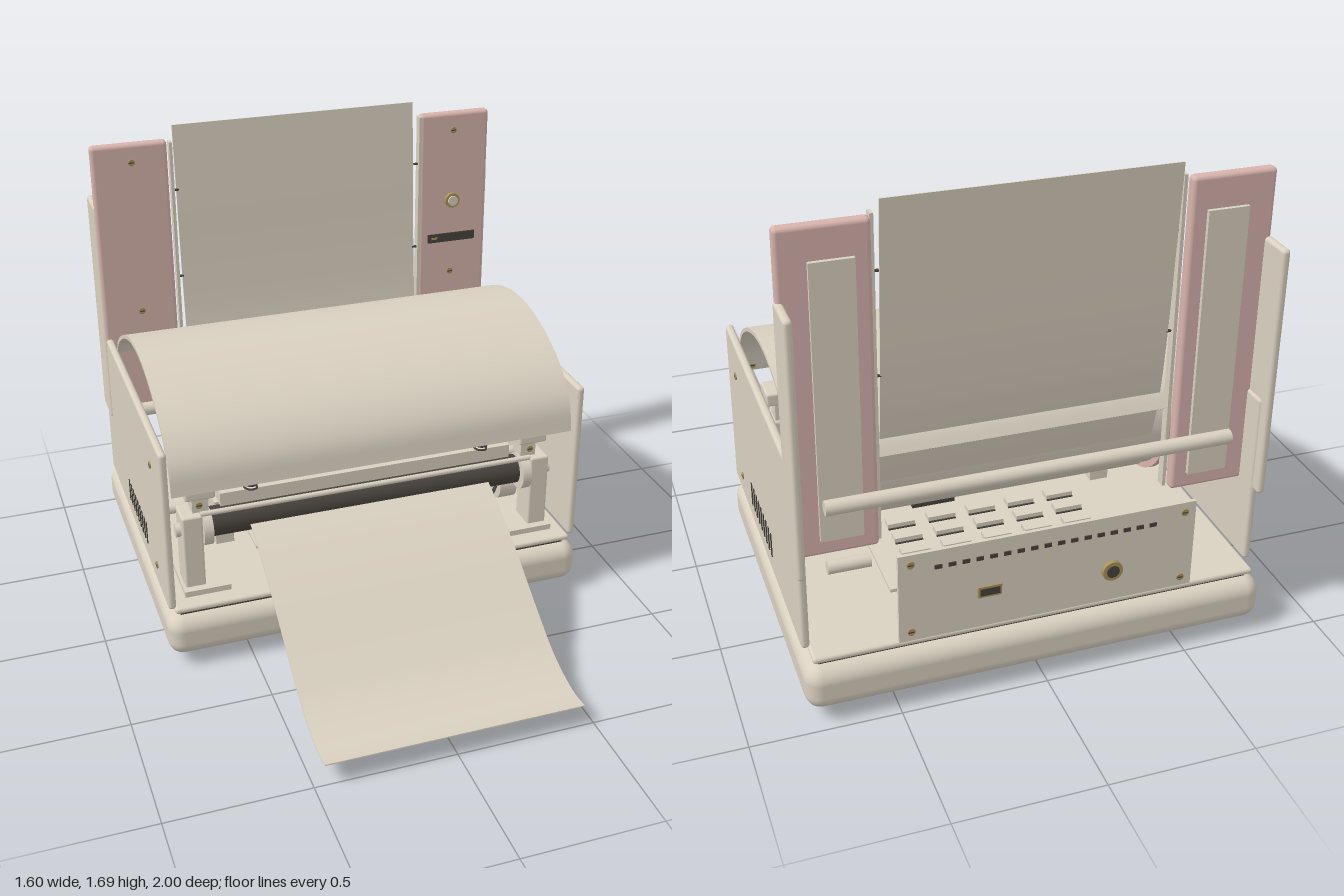
import * as THREE from 'three';
import { RoundedBoxGeometry } from 'three/addons/geometries/RoundedBoxGeometry.js';
import { toCreasedNormals } from 'three/addons/utils/BufferGeometryUtils.js';

const paint = (name, color) => {
  const m = new THREE.MeshStandardMaterial({ color });
  m.name = name;
  return m;
};

export function createModel() {
  const root = new THREE.Group();
  root.name = 'paperPrinter';
  const beige = paint('beige', 0xd9d0c0);
  const pink = paint('dustyPink', 0xd8b3ad);
  const dark = paint('charcoal', 0x48433d);
  const brass = paint('brass', 0xa8935c);

  const add = (name, geo, mat, x = 0, y = 0, z = 0) => {
    const m = new THREE.Mesh(geo, mat);
    m.name = name;
    m.position.set(x, y, z);
    root.add(m);
    return m;
  };
  // Box given by its limits; r > 0 rounds the edges
  const box = (name, mat, [x0, x1], [y0, y1], [z0, z1], r = 0) => {
    const s = [x1 - x0, y1 - y0, z1 - z0];
    const geo = r ? new RoundedBoxGeometry(...s, 4, r) : new THREE.BoxGeometry(...s);
    return add(name, geo, mat, (x0 + x1) / 2, (y0 + y1) / 2, (z0 + z1) / 2);
  };
  // Cylinder along the x, y or z axis
  const rod = (name, mat, axis, r, len, x, y, z, sides = 32) => {
    const geo = new THREE.CylinderGeometry(r, r, len, sides);
    if (axis === 'x') geo.rotateZ(Math.PI / 2);
    if (axis === 'z') geo.rotateX(Math.PI / 2);
    return add(name, geo, mat, x, y, z);
  };
  // Curved sheet: a [z, y] profile given a thickness and swept across x
  const sheet = (name, mat, points, width, thick, steps = 48) => {
    const curve = new THREE.CatmullRomCurve3(points.map(([z, y]) => new THREE.Vector3(z, y, 0)));
    const outer = [], inner = [];
    for (let i = 0; i <= steps; i++) {
      const p = curve.getPointAt(i / steps), t = curve.getTangentAt(i / steps);
      outer.push(new THREE.Vector2(p.x, p.y));
      inner.unshift(new THREE.Vector2(p.x + t.y * -thick, p.y + t.x * thick));
    }
    const geo = new THREE.ExtrudeGeometry(new THREE.Shape([...outer, ...inner]),
      { depth: width, bevelEnabled: false });
    geo.translate(0, 0, -width / 2);
    geo.rotateY(-Math.PI / 2);
    return add(name, toCreasedNormals(geo, 0.6), mat);
  };
  const screw = (axis, x, y, z) => {
    rod('screw', brass, axis, 0.013, 0.008, x, y, z, 12);
    const slot = [0.004, 0.004, 0.004];
    slot[axis === 'x' ? 2 : 0] = 0.018;
    slot[axis === 'x' ? 0 : 2] = 0.01;
    add('screwSlot', new THREE.BoxGeometry(...slot), dark, x, y, z);
  };

  // Base, seal and deck
  box('base', beige, [-0.8, 0.8], [0.04, 0.2], [-0.97, 0.25], 0.055);
  box('seal', dark, [-0.75, 0.75], [0.195, 0.216], [-0.92, 0.205]);
  box('deck', beige, [-0.77, 0.77], [0.214, 0.236], [-0.94, 0.225], 0.01);
  for (const x of [-0.62, 0.62])
    for (const z of [-0.8, 0.08]) rod('foot', dark, 'y', 0.067, 0.05, x, 0.025, z);

  // Mirrored side parts
  for (const s of [-1, 1]) {
    const sx = (a, b) => (s > 0 ? [a, b] : [-b, -a]);
    box('sidePanel', beige, sx(0.765, 0.793), [0.236, 0.865], [-0.88, 0.22], 0.012);
    box('tallSidePlate', beige, sx(0.772, 0.8), [0.52, 1.41], [-0.915, -0.765], 0.012);
    for (let i = 0; i < 9; i++) {
      const z = -0.128 - i * 0.041;
      box('sideVent', dark, sx(0.789, 0.796), [0.31, 0.4], [z - 0.006, z + 0.006]);
    }
    for (const y of [0.325, 0.74]) screw('x', s * 0.794, y, 0.05);

    // Upright panel with inner guide rail and rear strip
    box('uprightPanel', pink, sx(0.507, 0.795), [0.52, 1.64], [-0.798, -0.755], 0.014);
    box('guideRail', beige, sx(0.492, 0.504), [0.52, 1.64], [-0.765, -0.732]);
    box('rearStrip', beige, sx(0.56, 0.7), [0.58, 1.53], [-0.812, -0.795]);
    for (const y of [0.97, 1.57]) screw('z', s * 0.645, y, -0.754);
    for (const y of [1.1, 1.45]) box('railTab', dark, sx(0.475, 0.494), [y - 0.003, y + 0.003], [-0.75, -0.74]);

    // Drum flange with a ring of holes, hub and axle
    rod('drumFlange', pink, 'x', 0.258, 0.02, s * 0.53, 0.7, -0.45, 48);
    rod('drumHub', beige, 'x', 0.07, 0.05, s * 0.56, 0.7, -0.45);
    rod('drumAxle', beige, 'x', 0.025, 0.2, s * 0.67, 0.7, -0.45);
    for (const [r, n] of [[0.22, 28], [0.16, 18]])
      for (let i = 0; i < n; i++) {
        const a = (i / n) * Math.PI * 2;
        rod('flangeHole', dark, 'x', 0.007, 0.004, s * 0.5405, 0.7 + r * Math.sin(a), -0.45 + r * Math.cos(a), 8);
      }

    // Roller bracket, spring clamp and drive stub
    box('rollerBracket', beige, sx(0.635, 0.71), [0.25, 0.545], [0.02, 0.13], 0.008);
    box('bracketFoot', beige, sx(0.55, 0.72), [0.236, 0.258], [-0.1, 0.16]);
    box('clampPost', beige, sx(0.605, 0.665), [0.54, 0.62], [0.03, 0.1]);
    box('clampHead', beige, sx(0.585, 0.695), [0.61, 0.66], [0.02, 0.13], 0.008);
    screw('z', s * 0.64, 0.575, 0.102);
    rod('rollerEnd', beige, 'x', 0.07, 0.035, s * 0.617, 0.475, 0.08);
    rod('rollerPin', beige, 'x', 0.025, 0.02, s * 0.718, 0.475, 0.08);
    rod('driveStub', beige, 'x', 0.02, 0.2, s * 0.67, 0.365, -0.25);
    box('innerBlock', beige, sx(0.46, 0.53), [0.236, 0.42], [-0.25, -0.15]);
    screw('z', s * 0.71, 0.7, 0.19);

    // Coil spring
    const coil = [];
    for (let i = 0; i <= 60; i++) {
      const a = (i / 60) * Math.PI * 12;
      coil.push(new THREE.Vector3(0.024 * Math.cos(a), i / 60 * 0.09, 0.024 * Math.sin(a)));
    }
    add('spring', new THREE.TubeGeometry(new THREE.CatmullRomCurve3(coil), 120, 0.004, 6), dark, s * 0.445, 0.6, 0.08);
  }

  // Controls on the left upright panel
  rod('controlRing', brass, 'z', 0.03, 0.02, 0.645, 1.28, -0.75);
  rod('controlButton', beige, 'z', 0.02, 0.03, 0.645, 1.28, -0.748);
  box('cardSlot', dark, [0.545, 0.748], [1.102, 1.138], [-0.757, -0.75]);
  box('slotLight', brass, [0.56, 0.585], [1.116, 1.124], [-0.752, -0.748]);

  // Arched cover over the drum
  sheet('archedCover', beige, [[0.19, 0.68], [0.17, 0.78], [0.105, 0.865], [0, 0.935], [-0.15, 0.991],
    [-0.3, 1.01], [-0.45, 0.991], [-0.6, 0.932], [-0.71, 0.86], [-0.745, 0.81]], 1.51, -0.014);

  // Drum with the paper rising behind it
  rod('drum', beige, 'x', 0.235, 1.04, 0, 0.7, -0.45, 64);
  sheet('upperPaper', beige, [[-0.785, 1.69], [-0.768, 1.4], [-0.75, 1.1], [-0.728, 0.88], [-0.69, 0.7],
    [-0.62, 0.53], [-0.45, 0.455], [-0.2, 0.44], [0.03, 0.415]], 0.96, 0.004, 64);
  sheet('paperOutput', beige, [[0.13, 0.475], [0.22, 0.435], [0.4, 0.335], [0.6, 0.205], [0.75, 0.118],
    [0.87, 0.08], [0.94, 0.073], [1, 0.08]], 0.925, 0.004);

  // Roller, tie rod and toothed print bar
  rod('roller', dark, 'x', 0.055, 1.2, 0, 0.475, 0.06);
  rod('tieRod', beige, 'x', 0.01, 1.28, 0, 0.542, 0.11, 16);
  box('printBar', beige, [-0.56, 0.56], [0.548, 0.6], [0.01, 0.09]);
  box('printBarBack', beige, [-0.53, 0.53], [0.6, 0.68], [0, 0.02]);
  for (let i = 0; i < 41; i++) {
    const x = -0.4 + i * 0.02;
    box('tooth', dark, [x - 0.002, x + 0.002], [0.6, 0.615], [0.02, 0.028]);
  }
  rod('motor', beige, 'x', 0.07, 0.07, 0.605, 0.36, -0.06);
  const wire = new THREE.CatmullRomCurve3([[0.58, 0.36, -0.04], [0.52, 0.32, 0.0], [0.42, 0.31, -0.08], [0.3, 0.27, -0.2]]
    .map((p) => new THREE.Vector3(...p)));
  add('wire', new THREE.TubeGeometry(wire, 24, 0.007, 8), dark);

  // Circuit board on the deck
  box('circuitBoard', beige, [-0.4, 0.45], [0.25, 0.262], [-0.7, -0.05]);
  box('mainChip', dark, [0.08, 0.24], [0.262, 0.29], [-0.26, -0.14]);
  for (let i = 0; i < 5; i++)
    for (let j = 0; j < 4; j++) {
      const x = -0.34 + i * 0.15, z = -0.63 + j * 0.09;
      box('boardPart', beige, [x, x + 0.1], [0.26, 0.28], [z, z + 0.045]);
      box('boardPins', dark, [x, x + 0.1], [0.261, 0.266], [z - 0.008, z - 0.002]);
    }

  // Rear rods
  rod('rearRod', beige, 'x', 0.025, 1.38, 0, 0.72, -0.837);
  rod('rearStub', beige, 'x', 0.022, 0.14, 0.62, 0.5, -0.837);

  // Rear connector panel
  box('rearPanel', beige, [-0.51, 0.5], [0.265, 0.59], [-0.978, -0.965]);
  for (let i = 0; i < 17; i++) {
    const x = 0.37 - i * 0.0455;
    box('rearVent', dark, [x - 0.012, x + 0.012], [0.523, 0.537], [-0.982, -0.976]);
  }
  for (const x of [-0.47, 0.46]) for (const y of [0.3, 0.555]) screw('z', x, y, -0.979);
  box('port', brass, [0.16, 0.24], [0.38, 0.42], [-0.984, -0.96]);
  box('portOpening', dark, [0.167, 0.233], [0.387, 0.413], [-0.986, -0.982]);
  rod('powerJack', brass, 'z', 0.035, 0.04, -0.22, 0.385, -0.972);
  rod('jackOpening', dark, 'z', 0.022, 0.006, -0.22, 0.385, -0.992);
  return root;
}
